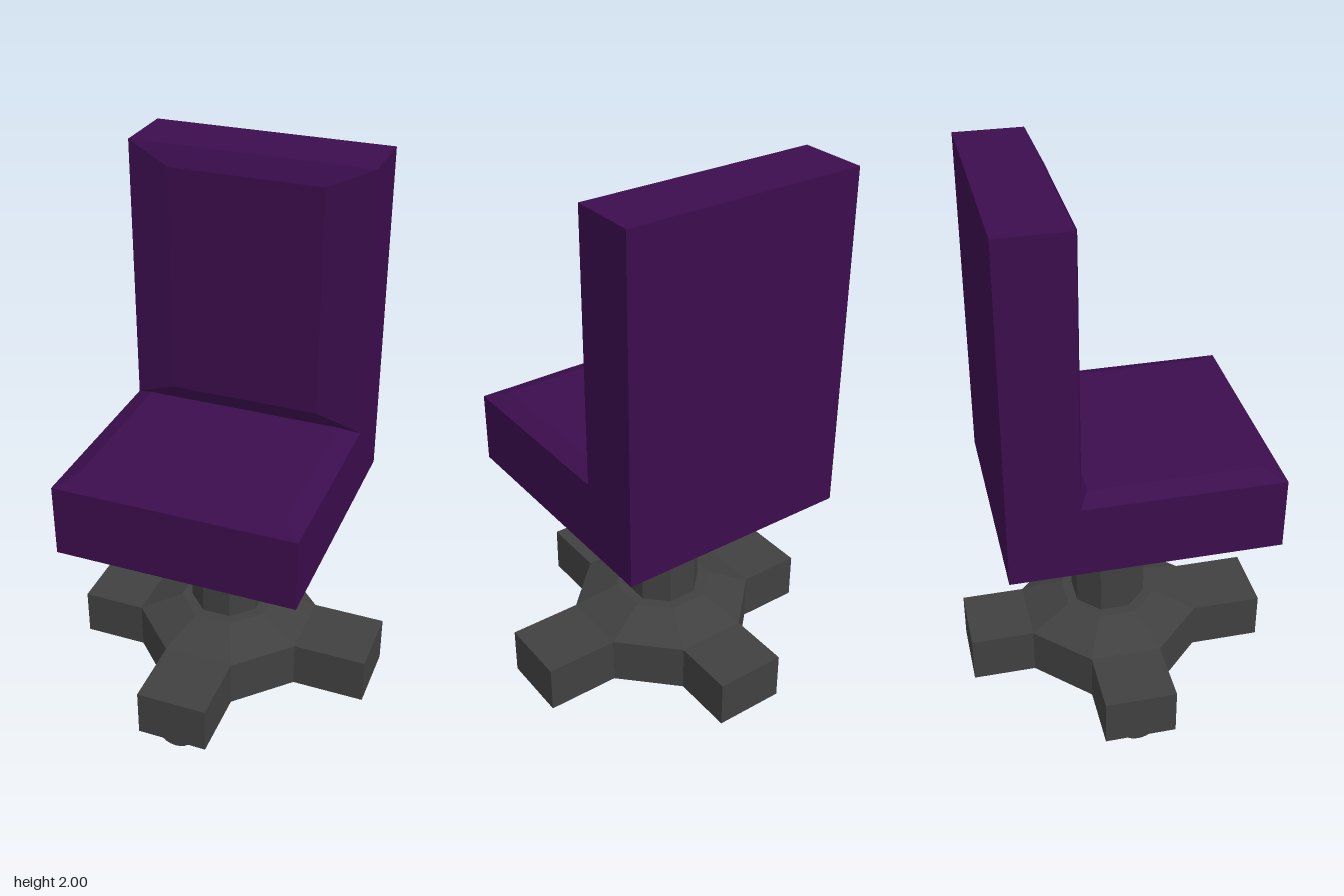
import * as THREE from 'three';

const purple = new THREE.MeshStandardMaterial({ color: 0x3b0d4d, flatShading: true });
const darkGrey = new THREE.MeshStandardMaterial({ color: 0x404040, flatShading: true });
const wheelGrey = new THREE.MeshStandardMaterial({ color: 0x404040 });

// Centre line of the column and base
const CX = -0.018, CZ = -0.014;

function add(parent, name, geometry, material, x = 0, y = 0, z = 0) {
  const mesh = new THREE.Mesh(geometry, material);
  mesh.name = name;
  mesh.position.set(x, y, z);
  parent.add(mesh);
  return mesh;
}

// Octagonal prism or frustum measured across its flats, with flats facing the axes
function octagon(topHalf, bottomHalf, height) {
  const k = 1 / Math.cos(Math.PI / 8);
  return new THREE.CylinderGeometry(topHalf * k, bottomHalf * k, height, 8, 1, false, Math.PI / 8);
}

// Cushion pad: a slab standing on y = 0 whose top face is drawn in on each side
function pad(width, height, depth, insetX, insetBack, insetFront) {
  const geometry = new THREE.BoxGeometry(width, height, depth).translate(0, height / 2, 0);
  const p = geometry.attributes.position;
  for (let i = 0; i < p.count; i++) {
    if (p.getY(i) < height / 2) continue;
    p.setX(i, p.getX(i) - Math.sign(p.getX(i)) * insetX);
    p.setZ(i, p.getZ(i) + (p.getZ(i) < 0 ? insetBack : -insetFront));
  }
  geometry.computeVertexNormals();
  return geometry;
}

export function createModel() {
  const chair = new THREE.Group();
  chair.name = 'swivelChair';

  // Seat and backrest as one L-shaped side profile (z, y)
  const profile = new THREE.Shape([
    [-0.445, 0.755], [0.51, 0.755], [0.51, 1.022], [-0.2, 1.022], [-0.2, 2], [-0.445, 2],
  ].map(([z, y]) => new THREE.Vector2(z, y)));
  const body = new THREE.ExtrudeGeometry(profile, { depth: 0.87, bevelEnabled: false });
  body.rotateY(-Math.PI / 2).translate(0.418, 0, 0);
  add(chair, 'seatAndBackrest', body, purple);

  // Raised pads on the seat and the backrest
  add(chair, 'seatPad', pad(0.87, 0.028, 0.71, 0.068, 0.037, 0.073), purple, -0.017, 1.022, 0.155);
  const backPad = pad(0.87, 0.035, 0.978, 0.158, 0.068, 0.068).rotateX(Math.PI / 2);
  add(chair, 'backrestPad', backPad, purple, -0.017, 1.511, -0.2);

  // Column
  add(chair, 'column', octagon(0.13, 0.13, 0.47), darkGrey, CX, 0.525, CZ);

  // Hub with a sloped top
  const base = new THREE.Group();
  base.name = 'base';
  chair.add(base);
  add(base, 'hub', octagon(0.315, 0.315, 0.18), darkGrey, CX, 0.147, CZ);
  add(base, 'hubTop', octagon(0.167, 0.315, 0.068), darkGrey, CX, 0.271, CZ);

  // Four arms, each with a wheel whose axle runs along the arm
  const arms = [
    { name: 'front', turn: 0, reach: 0.575, wheel: 0.472 },
    { name: 'left', turn: 1, reach: 0.587, wheel: 0.443 },
    { name: 'back', turn: 2, reach: 0.548, wheel: 0.434 },
    { name: 'right', turn: 3, reach: 0.552, wheel: 0.442 },
  ];
  for (const { name, turn, reach, wheel } of arms) {
    const arm = new THREE.Group();
    arm.name = name + 'Leg';
    arm.position.set(CX, 0, CZ);
    arm.rotation.y = turn * Math.PI / 2;
    base.add(arm);
    const length = reach - 0.315;
    add(arm, name + 'Arm', new THREE.BoxGeometry(0.26, 0.18, length), darkGrey, 0, 0.147, 0.315 + length / 2);
    const roller = new THREE.CylinderGeometry(0.07, 0.07, 0.142, 24).rotateX(Math.PI / 2);
    add(arm, name + 'Wheel', roller, wheelGrey, 0, 0.07, wheel);
  }
  return chair;
}
